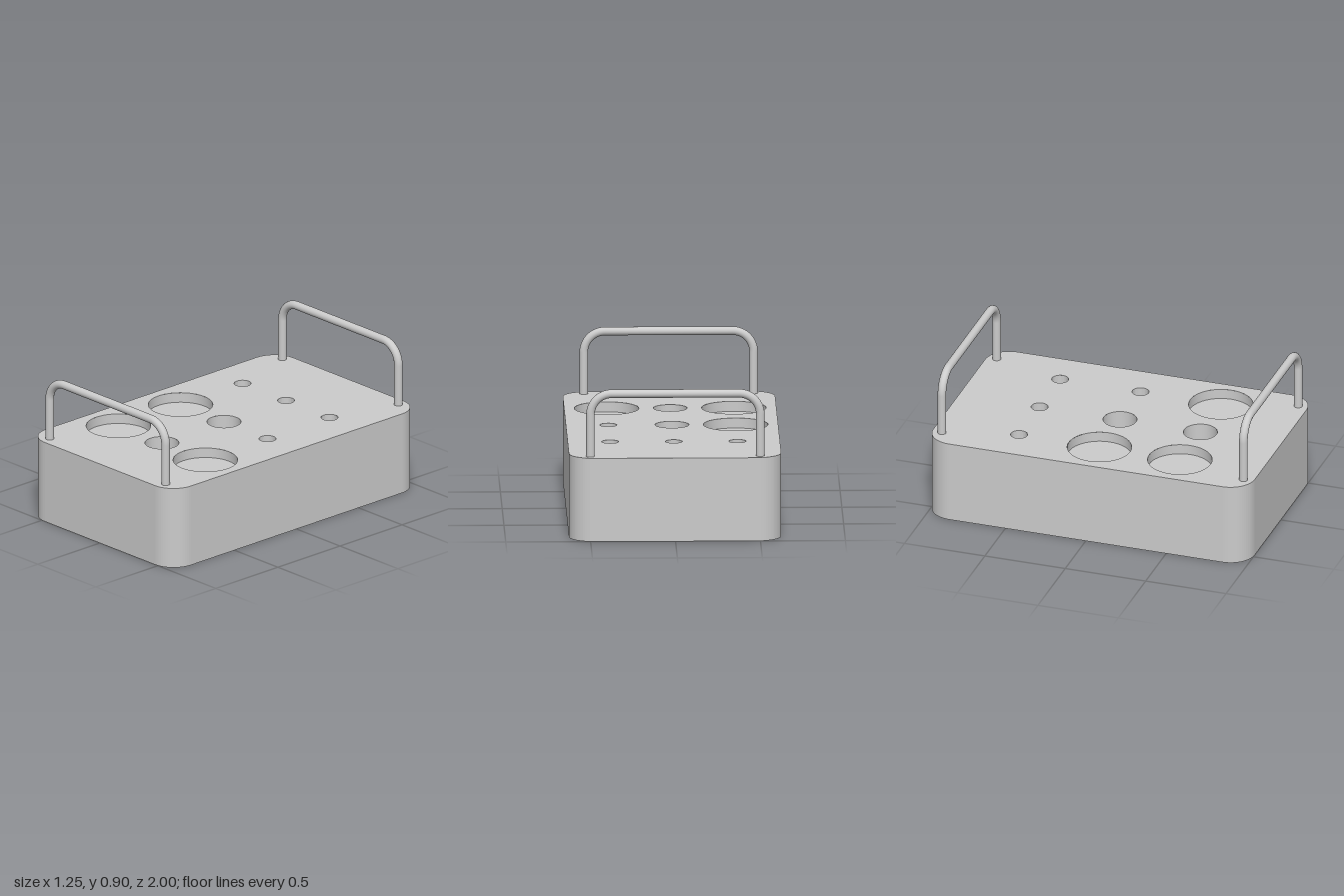
import * as THREE from 'three';
import { toCreasedNormals } from 'three/addons/utils/BufferGeometryUtils.js';

const W = 0.625, L = 1, H = 0.5, CORNER = 0.15; // half width, half length, height
const SEG = 48, CORNER_SEG = 8;

// Pockets: radius and depth per size, laid out on a 3 x 3 grid (back row first)
const SIZES = { S: { r: 0.05, depth: 0.25 }, M: { r: 0.1, depth: 0.25 }, L: { r: 0.19, depth: 0.06 } };
const ROWS = ['SSS', 'LMS', 'LML'];

export function createModel() {
  const model = new THREE.Group();
  const material = new THREE.MeshStandardMaterial({ color: 0xcccccc });
  const add = (parent, name, geometry, x = 0, y = 0, z = 0) => {
    const mesh = new THREE.Mesh(geometry, material);
    mesh.name = name;
    mesh.position.set(x, y, z);
    parent.add(mesh);
    return mesh;
  };

  // Rounded rectangle footprint, counter-clockwise
  const outline = () => {
    const s = new THREE.Shape();
    const cx = W - CORNER, cy = L - CORNER;
    [[cx, cy], [-cx, cy], [-cx, -cy], [cx, -cy]].forEach(([x, y], i) =>
      s.absarc(x, y, CORNER, i * Math.PI / 2, (i + 1) * Math.PI / 2));
    s.closePath();
    return s;
  };

  const body = new THREE.Group();
  body.name = 'body';
  model.add(body);

  // Outer wall: one flat quad per outline segment
  const points = outline().getPoints(CORNER_SEG);
  const quads = [];
  for (let i = 0; i < points.length - 1; i++) {
    const a = points[i], b = points[i + 1];
    if (a.distanceTo(b) < 1e-6) continue;
    quads.push(a.x, 0, -a.y, b.x, 0, -b.y, b.x, H, -b.y);
    quads.push(a.x, 0, -a.y, b.x, H, -b.y, a.x, H, -a.y);
  }
  const wall = new THREE.BufferGeometry();
  wall.setAttribute('position', new THREE.Float32BufferAttribute(quads, 3));
  wall.computeVertexNormals();
  add(body, 'outerWall', wall);
  add(body, 'bottomFace', new THREE.ShapeGeometry(outline(), CORNER_SEG).rotateX(Math.PI / 2));

  // Pockets: openings in the top face, each lined with a wall and floor
  const top = outline();
  ROWS.forEach((row, j) => [...row].forEach((size, i) => {
    const { r, depth } = SIZES[size];
    const x = (i - 1) * 0.375, z = (j - 1) * 0.5;
    const opening = new THREE.Path().absarc(x, -z, r, 0, Math.PI * 2, true);
    top.holes.push(new THREE.Path(opening.getPoints(SEG)));
    const profile = [[r, 0], [r, -depth], [0, -depth]].map(p => new THREE.Vector2(...p));
    const cup = toCreasedNormals(new THREE.LatheGeometry(profile, SEG), 0.6);
    add(body, 'pocket', cup, x, H, z);
  }));
  add(body, 'topFace', new THREE.ShapeGeometry(top, CORNER_SEG).rotateX(-Math.PI / 2), 0, H);

  // Handles: two legs, two quarter bends and a crossbar
  const R = 0.025, BEND = 0.125, X = 0.5, Y = 0.875;
  const legLength = Y - BEND - H;
  for (const side of [1, -1]) {
    const handle = new THREE.Group();
    handle.name = side > 0 ? 'frontHandle' : 'backHandle';
    handle.position.z = side * 0.9375;
    model.add(handle);
    for (const s of [1, -1]) {
      add(handle, 'leg', new THREE.CylinderGeometry(R, R, legLength, 24, 1, true), s * X, H + legLength / 2);
      const bend = add(handle, 'bend', new THREE.TorusGeometry(BEND, R, 24, 16, Math.PI / 2), s * (X - BEND), Y - BEND);
      bend.rotation.y = s > 0 ? 0 : Math.PI;
    }
    const bar = new THREE.CylinderGeometry(R, R, 2 * (X - BEND), 24, 1, true).rotateZ(Math.PI / 2);
    add(handle, 'crossbar', bar, 0, Y);
  }
  return model;
}
